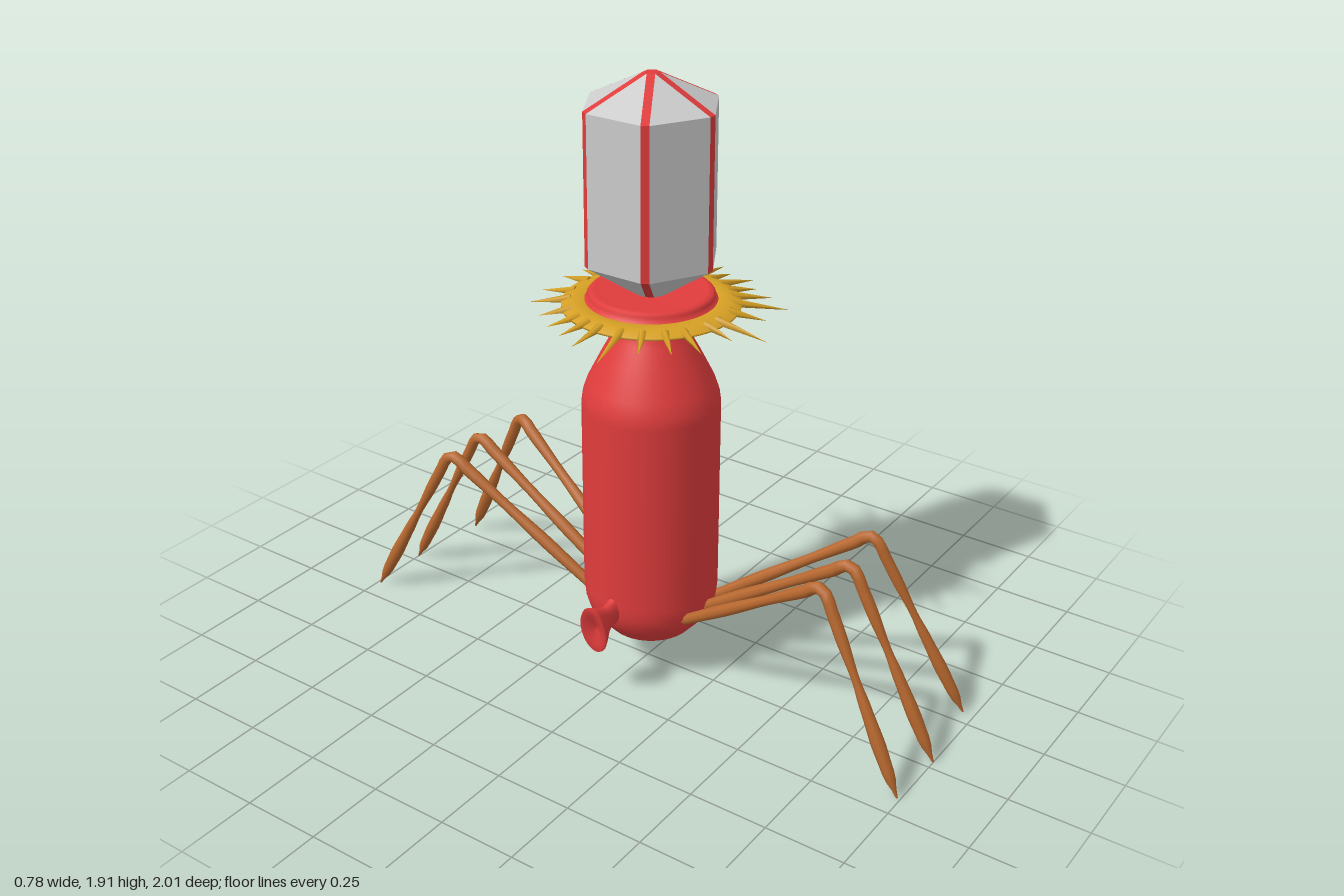
import * as THREE from 'three';

const AXIS_X = 0.017;
const V = (x, y, z) => new THREE.Vector3(x, y, z);
const paint = (color, extra = {}) => new THREE.MeshStandardMaterial({ color, ...extra });

function add(parent, name, geometry, material) {
  const mesh = new THREE.Mesh(geometry, material);
  mesh.name = name;
  parent.add(mesh);
  return mesh;
}

function lathe(points, segments = 40) {
  return new THREE.LatheGeometry(points.map(([r, y]) => new THREE.Vector2(r, y)), segments);
}

// Flat polygons, corners counter-clockwise seen from outside
function polygons(faces) {
  const pos = [];
  for (const f of faces)
    for (let i = 1; i < f.length - 1; i++)
      for (const p of [f[0], f[i], f[i + 1]]) pos.push(p.x, p.y, p.z);
  const g = new THREE.BufferGeometry();
  g.setAttribute('position', new THREE.Float32BufferAttribute(pos, 3));
  g.computeVertexNormals();
  return g;
}

// Six-sided head: grey panels separated by narrow strips along the edges
function makeHead() {
  const head = new THREE.Group();
  head.name = 'head';
  const half = 0.012, tip = half * Math.sqrt(3);
  const levels = [[tip, 1.235], [0.203, 1.36], [0.203, 1.815], [tip, 1.905]];
  const corner = (level, k, side) => {
    const [r, y] = levels[level];
    const a = Math.PI / 2 - k * Math.PI / 3;
    const s = side * half;
    return V(r * Math.cos(a) + s * Math.sin(a), y, r * Math.sin(a) - s * Math.cos(a));
  };
  const panels = [], strips = [], caps = [[], []];
  for (let k = 0; k < 6; k++) {
    for (let l = 0; l < 3; l++) {
      strips.push([corner(l, k, -1), corner(l, k, 1), corner(l + 1, k, 1), corner(l + 1, k, -1)]);
      panels.push([corner(l, k, 1), corner(l, k + 1, -1), corner(l + 1, k + 1, -1), corner(l + 1, k, 1)]);
    }
    caps[0].unshift(corner(0, k, 1));
    caps[1].push(corner(3, k, 1));
  }
  add(head, 'headPanels', polygons(panels), paint(0xcccccc, { flatShading: true }));
  add(head, 'headEdgeStrips', polygons([...strips, ...caps]), paint(0xe03c3c, { flatShading: true }));
  return head;
}

// Bent leg: a tube along two straight runs and a rounded knee, swelling and tapering
function legGeometry(base, knee, foot) {
  const before = knee.clone().lerp(base, 0.1), after = knee.clone().lerp(foot, 0.1);
  const peak = knee.clone().add(V(0, 0.025, 0));
  const path = new THREE.CurvePath();
  path.add(new THREE.LineCurve3(base, before));
  path.add(new THREE.QuadraticBezierCurve3(before, peak, after));
  path.add(new THREE.LineCurve3(after, foot));
  const profile = [[0, 0.017], [0.15, 0.02], [0.3, 0.016], [0.43, 0.02], [0.52, 0.018],
    [0.6, 0.018], [0.71, 0.012], [0.78, 0.017], [0.87, 0.021], [0.94, 0.018], [1, 0.003]];
  const radiusAt = u => {
    let i = 0;
    while (i < profile.length - 2 && u > profile[i + 1][0]) i++;
    const [u0, r0] = profile[i], [u1, r1] = profile[i + 1];
    return THREE.MathUtils.lerp(r0, r1, THREE.MathUtils.smoothstep(u, u0, u1));
  };
  const rings = 48, sides = 8;
  const g = new THREE.TubeGeometry(path, rings, 1, sides, false);
  const pos = g.attributes.position, p = V(0, 0, 0);
  for (let i = 0; i <= rings; i++) {
    const c = path.getPointAt(i / rings), r = radiusAt(i / rings);
    for (let j = 0; j <= sides; j++) {
      const n = i * (sides + 1) + j;
      p.fromBufferAttribute(pos, n).sub(c).multiplyScalar(r).add(c);
      pos.setXYZ(n, p.x, p.y, p.z);
    }
  }
  g.computeVertexNormals();
  return g;
}

export function createModel() {
  const model = new THREE.Group();
  const red = paint(0xe03c3c, { side: THREE.DoubleSide });
  const gold = paint(0xd6a024, { side: THREE.DoubleSide });
  const brown = paint(0xb8682f, { side: THREE.DoubleSide });

  const core = new THREE.Group();
  core.name = 'core';
  core.position.x = AXIS_X;
  model.add(core);
  core.add(makeHead());

  // Bottle-shaped body
  add(core, 'body', lathe([[0, 0.125], [0.075, 0.125], [0.085, 0.115], [0.115, 0.117], [0.135, 0.13],
    [0.175, 0.175], [0.195, 0.205], [0.205, 0.24], [0.209, 0.28], [0.209, 0.9], [0.204, 0.935],
    [0.19, 0.975], [0.15, 1.055], [0.115, 1.12], [0.102, 1.14], [0.1, 1.155]]), red);

  // Flared collar under the head
  add(core, 'collar', lathe([[0.1, 1.15], [0.108, 1.163], [0.135, 1.178], [0.17, 1.197], [0.185, 1.212],
    [0.208, 1.222], [0.208, 1.23], [0.188, 1.234], [0.188, 1.25], [0.18, 1.259], [0.165, 1.262],
    [0.145, 1.256], [0, 1.254]]), red);

  // Spiked ring
  add(core, 'spikeRing', lathe([[0.195, 1.222], [0.235, 1.22], [0.263, 1.214], [0.263, 1.22],
    [0.235, 1.231], [0.195, 1.234], [0.195, 1.222]], 48), gold);
  const spikes = [[2, 0.37], [12, 0.33], [24, 0.36], [36, 0.33], [47, 0.36], [59, 0.4], [75, 0.35],
    [93, 0.41], [104, 0.345], [123, 0.37], [136, 0.355], [151, 0.35], [166, 0.42], [182, 0.37],
    [194, 0.345], [206, 0.34], [220, 0.335], [238, 0.355], [253, 0.34], [273, 0.34], [286, 0.335],
    [295, 0.42], [305, 0.33], [316, 0.385], [332, 0.36], [343, 0.375]];
  for (const [deg, reach] of spikes) {
    const a = THREE.MathUtils.degToRad(deg);
    const dir = V(Math.cos(a), 0, Math.sin(a));
    const from = dir.clone().multiplyScalar(0.235).setY(1.225);
    const to = dir.clone().multiplyScalar(reach).setY(1.225 - 0.115 * (reach - 0.235));
    const g = new THREE.ConeGeometry(0.014, from.distanceTo(to), 5);
    const spike = add(core, 'spike', g, gold);
    spike.position.copy(from).lerp(to, 0.5);
    spike.quaternion.setFromUnitVectors(V(0, 1, 0), to.sub(from).normalize());
  }

  // Oval funnel on the right side, tilted slightly down
  const port = add(model, 'sidePort', lathe([[0.06, -0.03], [0.045, 0], [0.04, 0.03], [0.05, 0.055],
    [0.075, 0.085], [0.086, 0.1], [0.082, 0.107], [0.055, 0.1], [0, 0.085]], 24), red);
  port.position.set(-0.185, 0.262, 0);
  port.rotation.z = Math.PI / 2 + 0.17;
  port.scale.z = 0.55;

  // Three legs in front, mirrored behind
  const legs = [
    ['rightLeg', [-0.06, 0.23, 0.18], [-0.125, 0.57, 0.69], [-0.178, 0, 0.99]],
    ['middleLeg', [0.027, 0.23, 0.18], [0.027, 0.57, 0.7], [0.027, 0, 1]],
    ['leftLeg', [0.115, 0.23, 0.18], [0.21, 0.57, 0.67], [0.293, 0.005, 0.965]],
  ];
  for (const side of [1, -1]) {
    for (const [name, ...points] of legs) {
      const [base, knee, foot] = points.map(([x, y, z]) => V(x, y, z * side));
      add(model, (side > 0 ? 'front ' : 'back ') + name, legGeometry(base, knee, foot), brown);
    }
  }
  return model;
}
